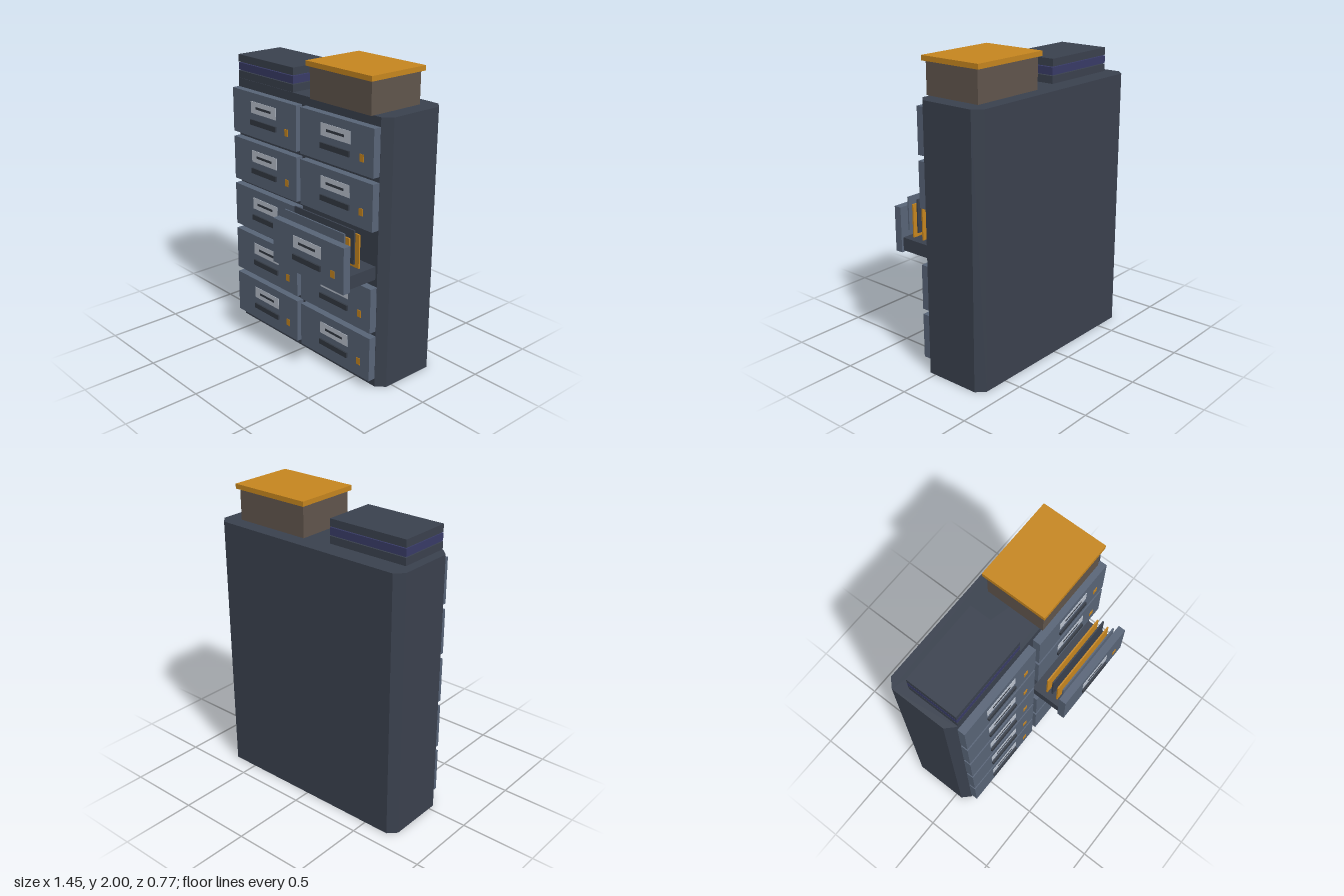
import * as THREE from 'three';

const material = (name, color) => {
  const m = new THREE.MeshStandardMaterial({ color });
  m.name = name;
  return m;
};

export function createModel() {
  const dark = material('dark steel', 0x3a414e);
  const black = material('handle grey', 0x333943);
  const slate = material('slate blue', 0x586477);
  const label = material('label grey', 0xbac2ce);
  const amber = material('amber', 0xc6861f);
  const brown = material('cardboard brown', 0x60554c);
  const navy = material('navy', 0x383b66);

  const model = new THREE.Group();
  model.name = 'filingCabinet';

  // Box given by its minimum and maximum on each axis
  const box = (parent, name, mat, [x0, x1], [y0, y1], [z0, z1]) => {
    const mesh = new THREE.Mesh(new THREE.BoxGeometry(x1 - x0, y1 - y0, z1 - z0), mat);
    mesh.position.set((x0 + x1) / 2, (y0 + y1) / 2, (z0 + z1) / 2);
    mesh.name = name;
    parent.add(mesh);
    return mesh;
  };

  // Cabinet body: plan outline with cut corners, extruded upwards
  const W = 0.727, back = -0.385, front = 0.097, cut = 0.053, H = 1.763;
  const plan = new THREE.Shape([
    [-W + cut, -front], [W - cut, -front], [W, -front + cut], [W, -back - cut],
    [W - cut, -back], [-W + cut, -back], [-W, -back - cut], [-W, -front + cut],
  ].map(([x, y]) => new THREE.Vector2(x, y)));
  const bodyGeo = new THREE.ExtrudeGeometry(plan, { depth: H, bevelEnabled: false });
  bodyGeo.rotateX(-Math.PI / 2);
  const body = new THREE.Mesh(bodyGeo, dark);
  body.name = 'cabinetBody';
  model.add(body);

  // Drawer front with label, handle and latch; origin at its bottom centre, on the back face
  const drawerFront = () => {
    const g = new THREE.Group();
    g.name = 'drawer';
    box(g, 'drawerFront', slate, [-0.327, 0.327], [0, 0.3], [0, 0.052]);
    box(g, 'labelPlate', label, [-0.13, 0.13], [0.164, 0.244], [0.052, 0.055]);
    box(g, 'labelSlot', black, [-0.079, 0.079], [0.196, 0.212], [0.055, 0.057]);
    box(g, 'handle', black, [-0.13, 0.13], [0.085, 0.121], [0.05, 0.064]);
    box(g, 'latch', amber, [0.214, 0.248], [0.08, 0.127], [0.052, 0.055]);
    return g;
  };

  // Two columns of five drawers, one pulled out
  for (const x of [-0.346, 0.346]) {
    for (let row = 0; row < 5; row++) {
      const open = x > 0 && row === 2;
      const drawer = drawerFront();
      drawer.position.set(x, 0.057 + row * 0.337, open ? 0.323 : front);
      model.add(drawer);
    }
  }

  // Tray and files of the open drawer
  box(model, 'openDrawerTray', dark, [0.032, 0.658], [0.742, 0.828], [0.09, 0.324]);
  [[0.192, amber], [0.234, dark], [0.274, amber], [0.315, slate]].forEach(([z, mat], i) => {
    const lift = i % 2 ? 0.04 : 0;
    box(model, 'file', mat, [0.068, 0.615], [0.828 + lift, 1.048 + lift], [z - 0.005, z + 0.005]);
  });

  // Stack of binders
  [dark, navy, dark].forEach((mat, i) => {
    const y = 1.765 + i * 0.054;
    box(model, 'binder', mat, [-0.667, -0.105], [y, y + 0.049], [-0.256, 0.099]);
  });

  // Storage box with lid
  box(model, 'storageBox', brown, [0.08, 0.616], [H, 1.97], [-0.286, 0.12]);
  box(model, 'storageBoxLid', amber, [0.062, 0.634], [1.968, 2], [-0.306, 0.139]);

  return model;
}
